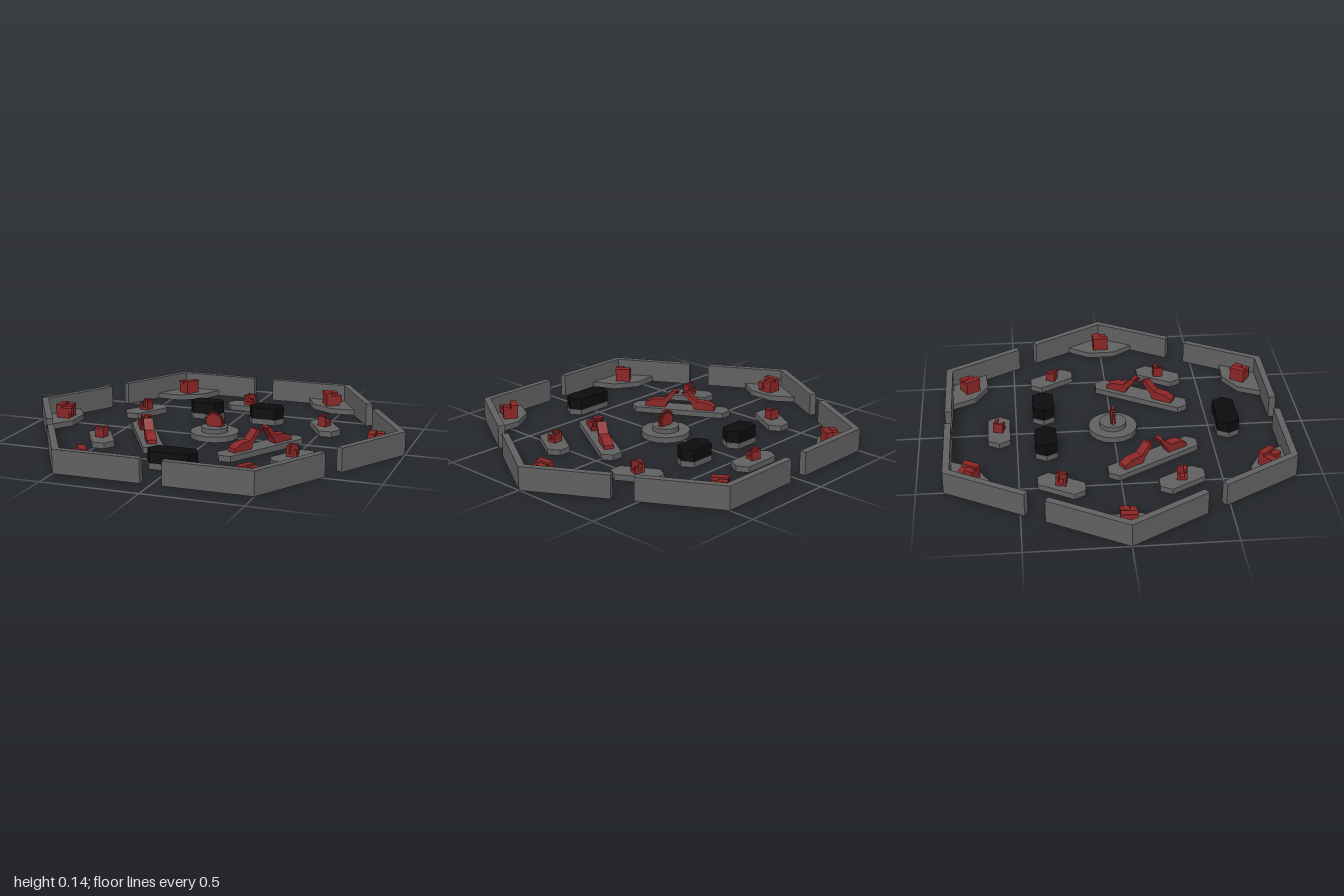
import * as THREE from 'three';

const mat = (color) => new THREE.MeshStandardMaterial({ color, flatShading: true });
const stone = mat(0x606060), red = mat(0x8a2626), black = mat(0x0c0c0c);
const BASE = 0.03;

function add(parent, name, geometry, material) {
  const mesh = new THREE.Mesh(geometry, material);
  mesh.name = name;
  parent.add(mesh);
  return mesh;
}

// Upright prism from plan points [x, z], spanning y0 to y1
function prism(points, y0, y1) {
  const shape = new THREE.Shape(points.map(([x, z]) => new THREE.Vector2(x, -z)));
  const g = new THREE.ExtrudeGeometry(shape, { depth: y1 - y0, bevelEnabled: false });
  return g.rotateX(-Math.PI / 2).translate(0, y0, 0);
}

// Elongated hexagon, long along z
const longHex = (w, flat, tip) =>
  [[w, flat], [0, tip], [-w, flat], [-w, -flat], [0, -tip], [w, -flat]];

// Group whose local +x points outward at the given plan angle
function spoke(parent, name, degrees) {
  const g = new THREE.Group();
  g.name = name;
  g.rotation.y = -THREE.MathUtils.degToRad(degrees);
  parent.add(g);
  return g;
}

// Blocks given as [width, height, depth, x, y, z], y measured at the bottom
function blocks(parent, name, list, x, yaw) {
  const g = new THREE.Group();
  g.name = name;
  g.position.set(x, BASE, 0);
  g.rotation.y = yaw;
  for (const [w, h, d, bx, by, bz] of list) {
    add(g, name + 'Block', new THREE.BoxGeometry(w, h, d).translate(bx, by + h / 2, bz), red);
  }
  parent.add(g);
}

const bigBlocks = [
  [0.075, 0.055, 0.08, 0, 0, 0],
  [0.034, 0.02, 0.084, -0.022, 0.052, 0],
  [0.034, 0.016, 0.045, 0.02, 0.052, -0.02],
  [0.022, 0.04, 0.03, 0.04, 0.015, 0.022],
];
const smallBlocks = [
  [0.05, 0.014, 0.05, 0, 0, 0],
  [0.014, 0.052, 0.05, -0.019, 0, 0],
  [0.038, 0.044, 0.013, 0.006, 0, -0.019],
  [0.014, 0.036, 0.016, 0.019, 0, 0.016],
  [0.045, 0.011, 0.016, 0, 0.045, -0.014],
];

// Bent arm rising towards the middle of the long plinth
function armGeometry() {
  const profile = [[0.19, 0.03], [0.19, 0.05], [0.15, 0.07], [0.09, 0.075], [0.055, 0.11],
    [0.042, 0.125], [0.026, 0.12], [0.028, 0.108], [0.07, 0.055], [0.08, 0.03]];
  const shape = new THREE.Shape(profile.map(([t, y]) => new THREE.Vector2(t, y)));
  const g = new THREE.ExtrudeGeometry(shape, { depth: 0.05, bevelEnabled: false });
  return g.translate(0, 0, -0.025).rotateY(-Math.PI / 2);
}

// Upright toothed wheel
function wheelGeometry(inner, outer, teeth, thick) {
  const pts = [];
  for (let i = 0; i < teeth * 2; i++) {
    const a = (i / teeth) * Math.PI, r = i % 2 ? inner : outer;
    pts.push(new THREE.Vector2(Math.sin(a) * r, Math.cos(a) * r));
  }
  const g = new THREE.ExtrudeGeometry(new THREE.Shape(pts), { depth: thick, bevelEnabled: false });
  return g.translate(0, 0, -thick / 2);
}

function plinth(parent, w, flat, tip, x, z = 0) {
  add(parent, 'plinth', prism(longHex(w, flat, tip), 0, BASE), stone).position.set(x, 0, z);
}

function blackBlock(parent, w, flat, tip, x, z = 0) {
  plinth(parent, w, flat, tip, x, z);
  add(parent, 'blackBlock', prism(longHex(w - 0.002, flat - 0.001, tip - 0.003), BASE, 0.09), black)
    .position.set(x, 0, z);
}

export function createModel() {
  const model = new THREE.Group();
  model.name = 'hexagonalArena';

  // Six corner walls, each with a corner platform and a block pile
  const wall = [[1, 0], [0.777, 0.385], [0.747, 0.368], [0.96, 0], [0.747, -0.368], [0.777, -0.385]];
  const platform = [[0.965, 0], [0.859, 0.18], [0.785, 0.07], [0.785, -0.07], [0.859, -0.18]];
  const yaws = [0.05, 0.45, -0.35, 3.1, 0.5, -0.5];
  for (let i = 0; i < 6; i++) {
    const corner = spoke(model, 'corner', i * 60);
    add(corner, 'cornerWall', prism(wall, 0, 0.12), stone);
    add(corner, 'cornerPlatform', prism(platform, 0, BASE), stone);
    blocks(corner, 'blockPile', bigBlocks, 0.855, yaws[i]);
  }

  // Ring of six small plinths; the front one carries a black block
  for (let i = 0; i < 6; i++) {
    const angle = 30 + i * 60;
    const side = spoke(model, 'ringPlinth', angle);
    if (angle === 90) {
      blackBlock(side, 0.057, 0.1, 0.133, 0.59);
    } else {
      plinth(side, 0.057, 0.1, 0.133, 0.59);
      blocks(side, 'smallPile', smallBlocks, 0.588, THREE.MathUtils.degToRad(angle) + i * 1.5);
    }
  }

  // Two long plinths with a broken arch of facing arms
  for (const angle of [30, 150]) {
    const side = spoke(model, 'longPlinth', angle);
    plinth(side, 0.053, 0.242, 0.272, 0.353);
    for (const turn of [0, Math.PI]) {
      const arm = new THREE.Group();
      arm.name = 'arm';
      arm.position.x = 0.353;
      arm.rotation.y = turn;
      add(arm, 'armBody', armGeometry(), red);
      // Finger stubs at the raised end
      for (const x of [-0.014, 0.014]) {
        add(arm, 'finger', new THREE.BoxGeometry(0.01, 0.01, 0.02), red).position.set(x, 0.113, 0.02);
      }
      side.add(arm);
    }
  }

  // Two black blocks side by side at the back
  const back = spoke(model, 'backBlocks', -90);
  for (const s of [-1, 1]) blackBlock(back, 0.057, 0.066, 0.099, 0.355, s * 0.17);

  // Central round pedestal with a toothed wheel
  const centre = new THREE.Group();
  centre.name = 'centrePedestal';
  model.add(centre);
  add(centre, 'pedestalBase', new THREE.CylinderGeometry(0.127, 0.127, BASE, 16), stone).position.y = BASE / 2;
  add(centre, 'pedestalTop', new THREE.CylinderGeometry(0.07, 0.07, 0.025, 16), stone).position.y = 0.0425;
  add(centre, 'wheelBody', new THREE.CylinderGeometry(0.042, 0.042, 0.024, 20).rotateX(Math.PI / 2), red)
    .position.y = 0.08;
  add(centre, 'wheelTeeth', wheelGeometry(0.04, 0.06, 20, 0.012), red).position.y = 0.08;

  return model;
}
